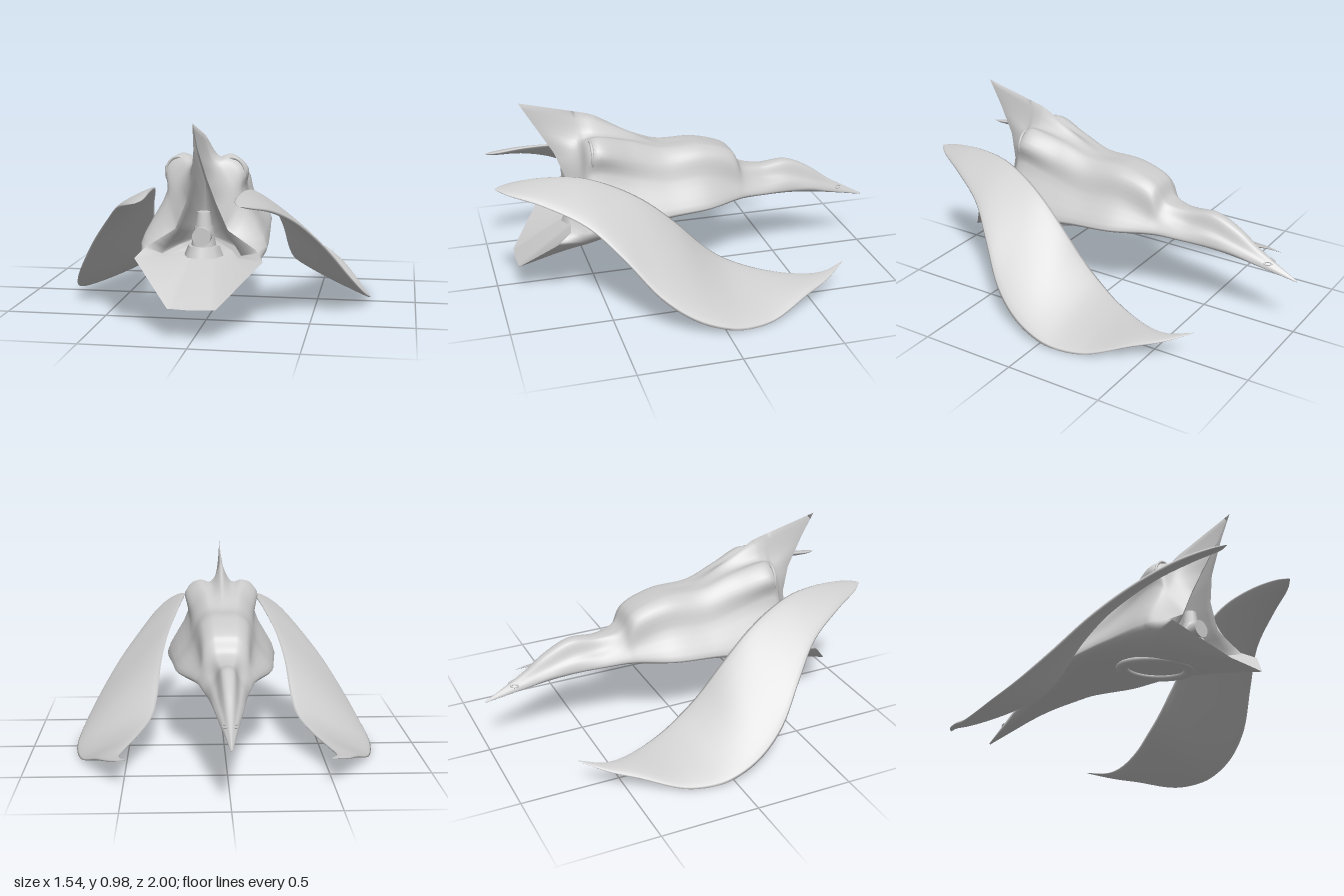
import * as THREE from 'three';

const material = new THREE.MeshStandardMaterial({ color: 0xcccccc, side: THREE.DoubleSide });
const V = (x, y, z) => new THREE.Vector3(x, y, z);

function add(parent, name, geometry, position = [0, 0, 0]) {
  const mesh = new THREE.Mesh(geometry, material);
  mesh.name = name;
  mesh.position.set(...position);
  parent.add(mesh);
  return mesh;
}

// Smooth or straight resampling of a line of points
const resample = (points, n) => new THREE.CatmullRomCurve3(points).getPoints(n);
const subdivide = (points, k) => [
  ...points.slice(0, -1).flatMap((p, i) =>
    Array.from({ length: k }, (_, j) => p.clone().lerp(points[i + 1], j / k))),
  points.at(-1),
];

// Resample between cross-sections, point by point
function smoothRows(rows, n) {
  const columns = rows[0].map((_, j) => resample(rows.map(r => r[j]), n));
  return Array.from({ length: n + 1 }, (_, i) => columns.map(c => c[i]));
}

// Mirror a half section (top centre to bottom centre) into a full ring
const mirrorRing = half => [...half, ...half.slice(1, -1).reverse().map(p => V(-p.x, p.y, p.z))];

// Skin over closed cross-section rings
function loft(rows) {
  const m = rows[0].length, positions = [], index = [];
  for (const row of rows) for (const p of row) positions.push(p.x, p.y, p.z);
  for (let i = 0; i < rows.length - 1; i++) {
    for (let j = 0; j < m; j++) {
      const a = i * m + j, b = i * m + (j + 1) % m;
      index.push(a, b, a + m, b, b + m, a + m);
    }
  }
  const g = new THREE.BufferGeometry();
  g.setAttribute('position', new THREE.Float32BufferAttribute(positions, 3));
  g.setIndex(index);
  g.computeVertexNormals();
  return g;
}

// z, ridge y, valley y, upper y, shoulder x y, waist x y, widest x y, belly y
const bodyTable = [
  [-1, .292, .292, .291, .003, .291, .004, .29, .005, .288, .285],
  [-.8, .405, .403, .397, .028, .38, .04, .365, .045, .345, .33],
  [-.68, .49, .487, .475, .045, .43, .06, .41, .07, .385, .352],
  [-.55, .545, .542, .53, .055, .47, .08, .44, .09, .40, .37],
  [-.4, .535, .533, .525, .065, .48, .1, .45, .12, .41, .382],
  [-.29, .56, .559, .555, .09, .52, .12, .47, .145, .42, .385],
  [-.235, .645, .644, .64, .11, .6, .13, .5, .17, .425, .385],
  [-.07, .705, .704, .698, .125, .66, .16, .55, .245, .425, .38],
  [.14, .712, .711, .705, .14, .65, .18, .55, .27, .42, .365],
  [.3, .79, .762, .76, .16, .69, .18, .59, .285, .41, .335],
  [.48, .893, .80, .812, .2, .745, .185, .64, .3, .40, .29],
  [.53, .908, .795, .79, .18, .73, .18, .63, .3, .395, .275],
  [.57, .918, .79, .745, .13, .66, .17, .56, .3, .39, .265],
];

const bodyHalf = ([z, y0, vy, y1, sx, sy, nx, ny, w, yw, yb]) => [
  V(0, y0, z), V(.3 * sx, vy, z), V(.6 * sx, y1, z), V(sx, sy, z), V(nx, ny, z),
  V(w, yw, z), V(.9 * w, (yw + yb) / 2, z), V(.5 * w, yb, z), V(0, yb, z),
];

// Rear rim: fin tip and arch at the top, sloping tail flap at the bottom
const rim = [
  V(0, .985, .84), V(.01, .86, .765), V(.035, .72, .68), V(.07, .6, .635), V(.125, .47, .625),
  V(.26, .385, .65), V(.3, .345, .72), V(.11, .156, .895), V(0, .153, .9),
];
const bayMouth = [
  V(0, .92, .79), V(.004, .83, .735), V(.025, .7, .655), V(.058, .58, .61), V(.11, .46, .605),
  V(.19, .355, .63), V(.17, .34, .63), V(.06, .335, .62), V(0, .335, .62),
];
const bayBack = [
  V(0, .72, .5), V(.008, .68, .49), V(.02, .61, .48), V(.045, .53, .47), V(.08, .45, .47),
  V(.14, .37, .47), V(.12, .34, .47), V(.05, .335, .47), V(0, .335, .47),
];

function buildFuselage(group) {
  const sections = bodyTable.map(row => resample(bodyHalf(row), 32));
  const rows = smoothRows([...sections, subdivide(rim, 4)], 104);
  add(group, 'fuselageAndFin', loft(rows.map(mirrorRing)));

  const centre = bayBack.map(() => V(0, .42, .46));
  const bay = [rim, bayMouth, bayBack, centre].map(half => mirrorRing(subdivide(half, 4)));
  add(group, 'engineBay', loft(bay));

  // Rounded tip of the nose
  add(group, 'noseTip', new THREE.SphereGeometry(.005, 12, 8), [0, .289, -.997]);
}

// z, inner edge x y, outer edge x y
const wingTable = [
  [1, .225, .648, .235, .645], [.95, .205, .655, .28, .63], [.8, .205, .67, .36, .59],
  [.6, .225, .66, .46, .495], [.45, .255, .615, .575, .355], [.3, .295, .54, .685, .185],
  [.15, .33, .42, .745, .08], [0, .35, .27, .77, .025], [-.1, .37, .2, .765, .008],
  [-.25, .43, .15, .73, .012], [-.45, .5, .125, .64, .075], [-.58, .52, .13, .575, .11],
  [-.7, .48, .152, .485, .15],
];

function buildWing(side) {
  const rows = wingTable.map(([z, xi, yi, xo, yo]) => {
    const dx = xo - xi, dy = yo - yi, length = Math.hypot(dx, dy);
    const thickness = Math.min(.016, length * .12);
    return Array.from({ length: 20 }, (_, k) => {
      const a = k / 20 * Math.PI * 2;
      const u = (1 - Math.cos(a)) / 2, t = Math.sin(a) * thickness;
      return V(side * (xi + dx * u - dy / length * t), yi + dy * u + dx / length * t, z);
    });
  });
  return loft(smoothRows(rows, 60));
}

function buildEngine(group) {
  const engine = new THREE.Group();
  engine.name = 'engine';
  engine.position.set(0, 0, .56);
  group.add(engine);
  add(engine, 'engineBase', new THREE.CylinderGeometry(.075, .095, .05, 8), [0, .36, 0]);
  add(engine, 'engineHousing', new THREE.CylinderGeometry(.045, .06, .09, 8), [0, .43, 0]);
  add(engine, 'engineColumn', new THREE.CylinderGeometry(.03, .042, .08, 12), [0, .505, 0]);
  const nozzle = add(engine, 'engineNozzle', new THREE.CylinderGeometry(.044, .044, .06, 24), [0, .435, .04]);
  nozzle.rotation.x = Math.PI / 2;
}

export function createModel() {
  const group = new THREE.Group();
  group.name = 'winged craft';
  buildFuselage(group);
  buildEngine(group);

  for (const s of [1, -1]) {
    const label = s > 0 ? 'left' : 'right';
    add(group, label + 'Wing', buildWing(s));

    // Rear lip of the dorsal pod
    const lip = add(group, label + 'PodLip', new THREE.TorusGeometry(.055, .007, 8, 32), [s * .14, .735, .515]);
    lip.scale.set(.85, 1.15, 1);
    lip.rotation.z = s * .35;

    // Small ringed port lying on the nose surface
    const port = add(group, label + 'NosePort', new THREE.TorusGeometry(.011, .003, 6, 20), [s * .026, .356, -.855]);
    port.lookAt(s * .826, .956, -1.255);
    port.scale.set(1.6, .7, 1);
  }

  // Broad oval rim under the belly
  const oval = add(group, 'bellyRim', new THREE.TorusGeometry(.185, .035, 12, 48), [0, .324, .32]);
  oval.rotation.x = Math.PI / 2 + .21;
  oval.scale.set(.76, 1.05, .5);
  return group;
}
